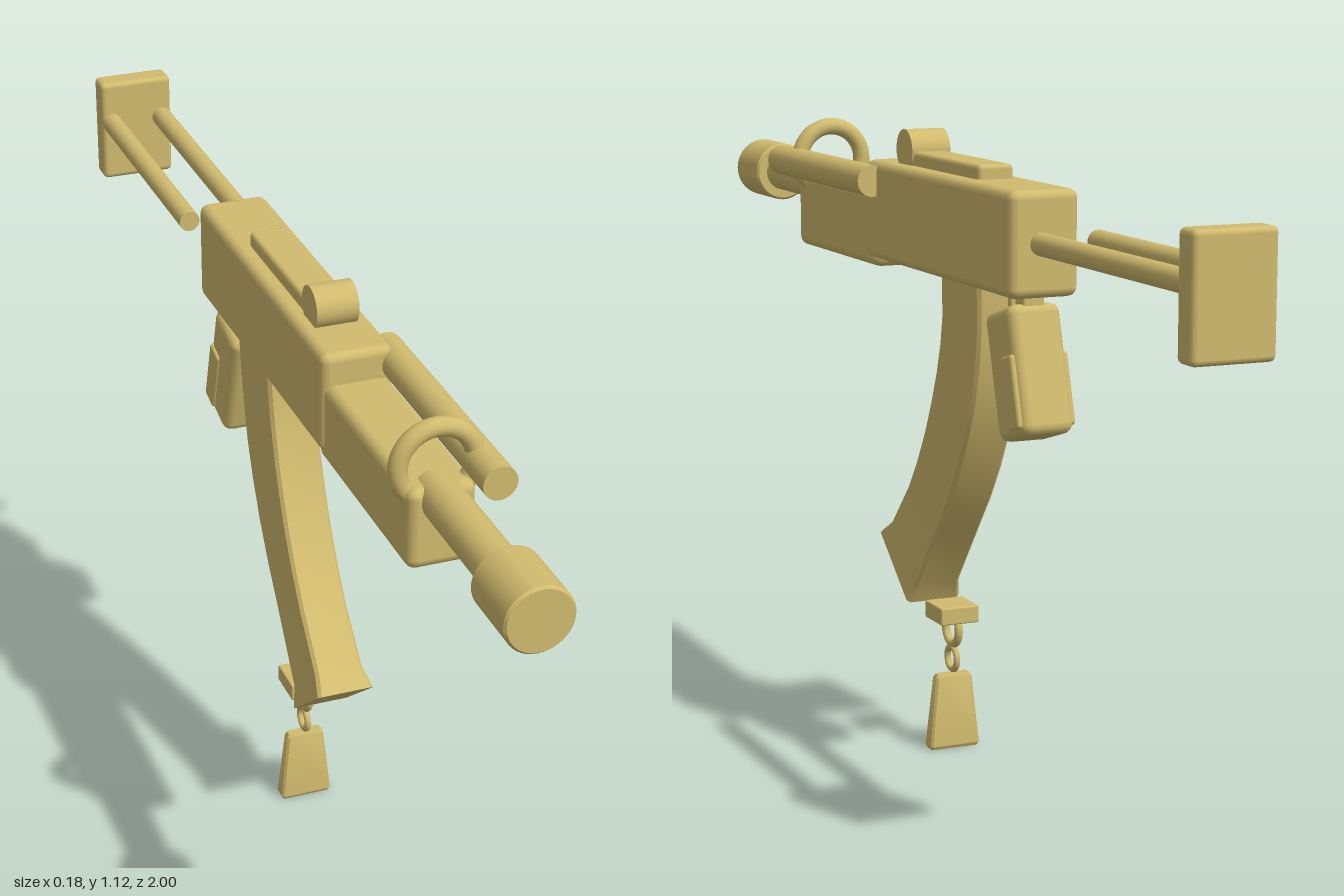
import * as THREE from 'three';
import { toCreasedNormals } from 'three/addons/utils/BufferGeometryUtils.js';
import { RoundedBoxGeometry } from 'three/addons/geometries/RoundedBoxGeometry.js';

const CX = -0.011; // centre plane of the body

// Loft of chamfered rectangles; each section is [frontZ, frontY, rearZ, rearY, halfWidth]
function loft(sections, chamfer) {
  const pos = [], idx = [];
  for (const [fz, fy, rz, ry, h] of sections) {
    const t = chamfer / Math.hypot(rz - fz, ry - fy), w = h - chamfer;
    const ring = [[w, 0], [-w, 0], [-h, t], [-h, 1 - t], [-w, 1], [w, 1], [h, 1 - t], [h, t]];
    for (const [x, s] of ring) pos.push(x, fy + (ry - fy) * s, fz + (rz - fz) * s);
  }
  const last = (sections.length - 1) * 8;
  for (let i = 0; i < last; i += 8) {
    for (let j = 0; j < 8; j++) {
      const a = i + j, b = i + (j + 1) % 8;
      idx.push(a, b, a + 8, b, b + 8, a + 8);
    }
  }
  for (let j = 1; j < 7; j++) idx.push(0, j + 1, j, last, last + j, last + j + 1);
  const g = new THREE.BufferGeometry();
  g.setAttribute('position', new THREE.Float32BufferAttribute(pos, 3));
  g.setIndex(idx);
  return toCreasedNormals(g, 0.5);
}

export function createModel() {
  const model = new THREE.Group();
  const gold = new THREE.MeshStandardMaterial({ color: 0xd1bb6e });
  gold.name = 'gold';

  const add = (name, geometry, x, y, z, parent = model) => {
    const mesh = new THREE.Mesh(geometry, gold);
    mesh.name = name;
    mesh.position.set(x, y, z);
    parent.add(mesh);
    return mesh;
  };
  const box = (w, h, d, r) => new RoundedBoxGeometry(w, h, d, 2, r);
  // Rod along z between two depths
  const rod = (name, r, z0, z1, x, y) =>
    add(name, new THREE.CylinderGeometry(r, r, z1 - z0, 32).rotateX(Math.PI / 2), x, y, (z0 + z1) / 2);

  // Body, forend and barrel
  add('receiver', box(0.126, 0.18, 0.64, 0.016), CX, 0.965, -0.045);
  add('forend', box(0.114, 0.142, 0.4, 0.018), CX, 0.929, 0.44);
  rod('barrel', 0.036, 0.6, 0.9, CX, 0.977);
  const muzzle = [[0, -0.0625], [0.053, -0.0625], [0.057, -0.058], [0.057, 0.058], [0.053, 0.0625], [0, 0.0625]];
  add('muzzle', toCreasedNormals(new THREE.LatheGeometry(
    muzzle.map(([r, y]) => new THREE.Vector2(r, y)), 40).rotateX(Math.PI / 2), 0.5), CX, 0.977, 0.9375);
  rod('sideTube', 0.029, 0.215, 0.69, 0.06, 1.02);
  add('frontRing', new THREE.TorusGeometry(0.064, 0.016, 16, 48), CX, 1.025, 0.607);

  // Top rail and its cross cylinder
  add('topRail', box(0.066, 0.04, 0.31, 0.008), CX, 1.06, -0.015);
  add('railCylinder', new THREE.CylinderGeometry(0.037, 0.037, 0.074, 32).rotateZ(Math.PI / 2), CX, 1.081, 0.146);

  // Stock: two free rods and an end plate
  for (const side of [-1, 1]) rod('stockRod', 0.019, -0.96, -0.455, CX + side * 0.051, 0.978);
  add('stockPlate', box(0.142, 0.2, 0.05, 0.01), CX, 0.96, -0.975);

  // Curved magazine with flared foot
  add('magazine', loft([
    [-0.04, 0.89, -0.2, 0.89, 0.047],
    [-0.035, 0.805, -0.195, 0.795, 0.044],
    [-0.024, 0.755, -0.184, 0.732, 0.043],
    [-0.008, 0.703, -0.168, 0.67, 0.043],
    [0.016, 0.645, -0.14, 0.604, 0.043],
    [0.045, 0.586, -0.104, 0.537, 0.043],
    [0.08, 0.528, -0.062, 0.474, 0.043],
    [0.12, 0.473, -0.013, 0.412, 0.043],
    [0.2, 0.388, 0.083, 0.291, 0.044],
    [0.235, 0.364, 0.102, 0.255, 0.052],
  ], 0.006), CX, 0, 0);

  // Tilted grip with raised side panels
  const grip = new THREE.Group();
  grip.name = 'grip';
  grip.position.set(CX, 0.743, -0.305);
  grip.rotation.x = 0.29;
  model.add(grip);
  add('gripBody', box(0.096, 0.222, 0.112, 0.018), 0, 0, 0, grip);
  for (const side of [-1, 1]) add('gripPanel', box(0.02, 0.125, 0.045, 0.006), side * 0.0435, -0.035, -0.025, grip);
  add('gripPegFront', box(0.03, 0.07, 0.016, 0.004), CX, 0.855, -0.257);
  add('gripPegRear', box(0.04, 0.07, 0.036, 0.006), CX, 0.855, -0.306);
  add('trigger', box(0.03, 0.05, 0.05, 0.01), CX, 0.79, -0.215).rotation.x = 0.5;

  // Hanging charm: clasp, two links and a tapered tag
  add('charmClasp', box(0.074, 0.032, 0.075, 0.003), CX, 0.254, 0.017);
  add('charmLinkLarge', new THREE.TorusGeometry(0.029, 0.0075, 12, 32).rotateY(Math.PI / 2), CX, 0.223, 0.016);
  add('charmLinkSmall', new THREE.TorusGeometry(0.021, 0.006, 12, 32).rotateY(Math.PI / 2), CX, 0.167, 0.016);
  add('charmTag', loft([
    [0.008, 0.139, -0.008, 0.139, 0.031],
    [0.011, 0.133, -0.011, 0.133, 0.035],
    [0.016, 0.006, -0.016, 0.006, 0.048],
    [0.013, 0, -0.013, 0, 0.045],
  ], 0.004), CX, 0, 0.016);

  return model;
}
